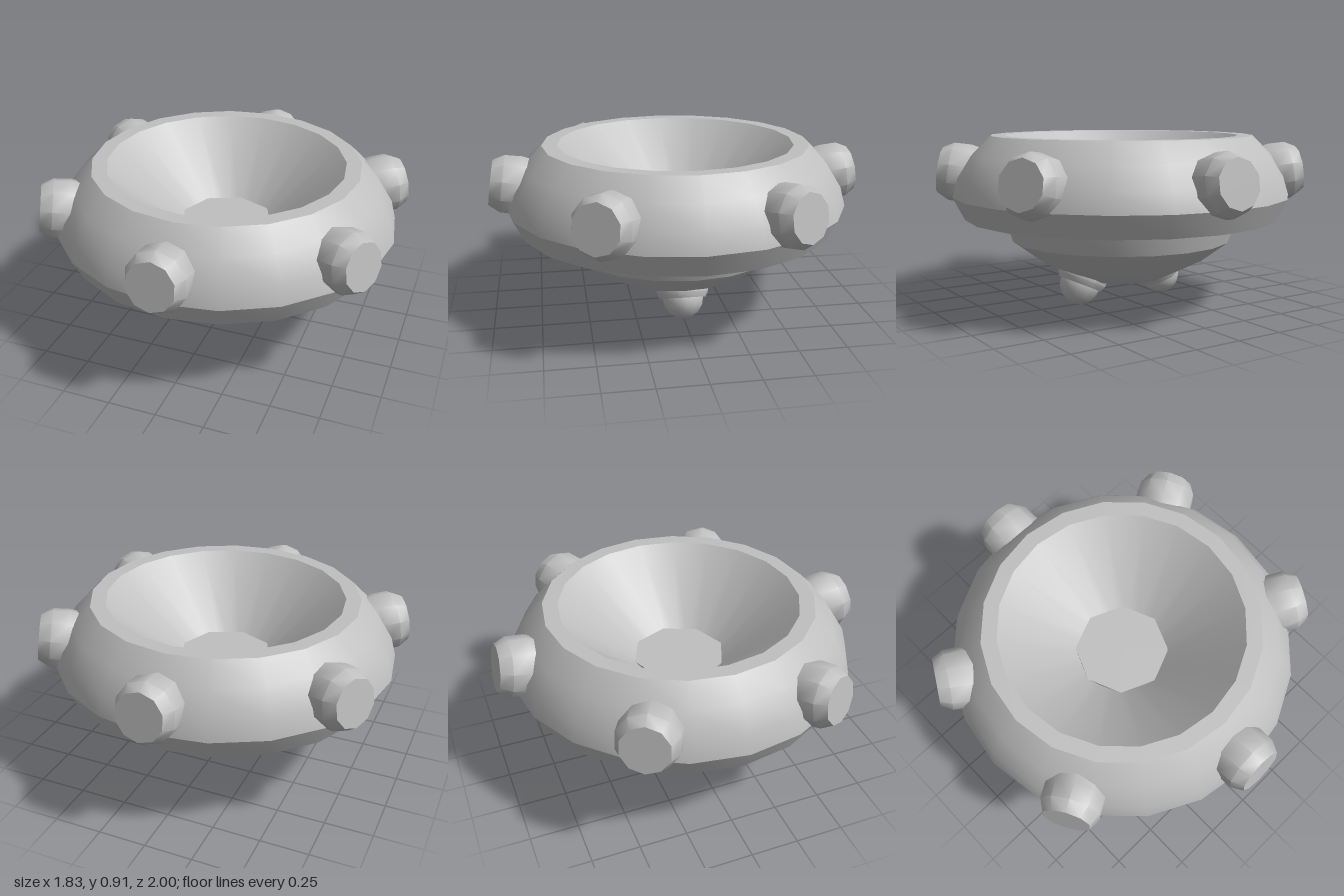
import * as THREE from 'three';
import { toCreasedNormals } from 'three/addons/utils/BufferGeometryUtils.js';

// Turned solid with smooth curves and sharp edges
function turned(profile, sides, crease = 0.55) {
  const points = profile.map(([r, y]) => new THREE.Vector2(r, y));
  return toCreasedNormals(new THREE.LatheGeometry(points, sides), crease);
}

export function createModel() {
  const model = new THREE.Group();
  model.name = 'studdedBowl';
  const grey = new THREE.MeshStandardMaterial({ color: 0xbfbfbf });
  grey.name = 'grey';

  function add(name, geometry, parent = model) {
    const mesh = new THREE.Mesh(geometry, grey);
    mesh.name = name;
    parent.add(mesh);
    return mesh;
  }

  // Rounded underside
  add('lowerBowl', turned([
    [0, 0.085], [0.24, 0.13], [0.46, 0.24], [0.6, 0.345], [0.64, 0.475],
  ], 20));

  // Thick outer ring, flat rim and hollow inside
  add('ringAndHollow', turned([
    [0, 0.47], [0.85, 0.47], [0.912, 0.59], [0.885, 0.69], [0.81, 0.81],
    [0.71, 0.91], [0.63, 0.91], [0.2, 0.525], [0, 0.525],
  ], 20));

  // Eight-sided floor plate
  add('floorPlate', new THREE.CylinderGeometry(0.25, 0.25, 0.03, 8)).position.y = 0.555;

  // Six blunt studs around the ring, tilted slightly upwards
  const stud = turned([
    [0, -0.25], [0.14, -0.25], [0.16, -0.15], [0.157, -0.06], [0.124, 0], [0, 0],
  ], 10, 0.7);
  for (let i = 0; i < 6; i++) {
    const arm = new THREE.Group();
    arm.name = 'studArm' + (i + 1);
    arm.rotation.y = i * Math.PI / 3;
    const mesh = add('stud', stud, arm);
    mesh.position.set(0, 0.722, 0.982);
    mesh.rotation.x = Math.PI / 2 - 0.15;
    model.add(arm);
  }

  // Two collared domes below, leaning outwards
  const collar = turned([[0, -0.03], [0.125, -0.03], [0.14, 0], [0.14, 0.03], [0, 0.03]], 10, 0.7);
  const dome = new THREE.SphereGeometry(0.11, 12, 8);
  for (const side of [-1, 1]) {
    const foot = new THREE.Group();
    foot.name = side > 0 ? 'leftFoot' : 'rightFoot';
    foot.position.set(side * 0.265, 0.11, 0);
    foot.rotation.z = side * 0.43;
    add('collar', collar, foot).position.y = 0.03;
    add('dome', dome, foot);
    model.add(foot);
  }
  return model;
}
